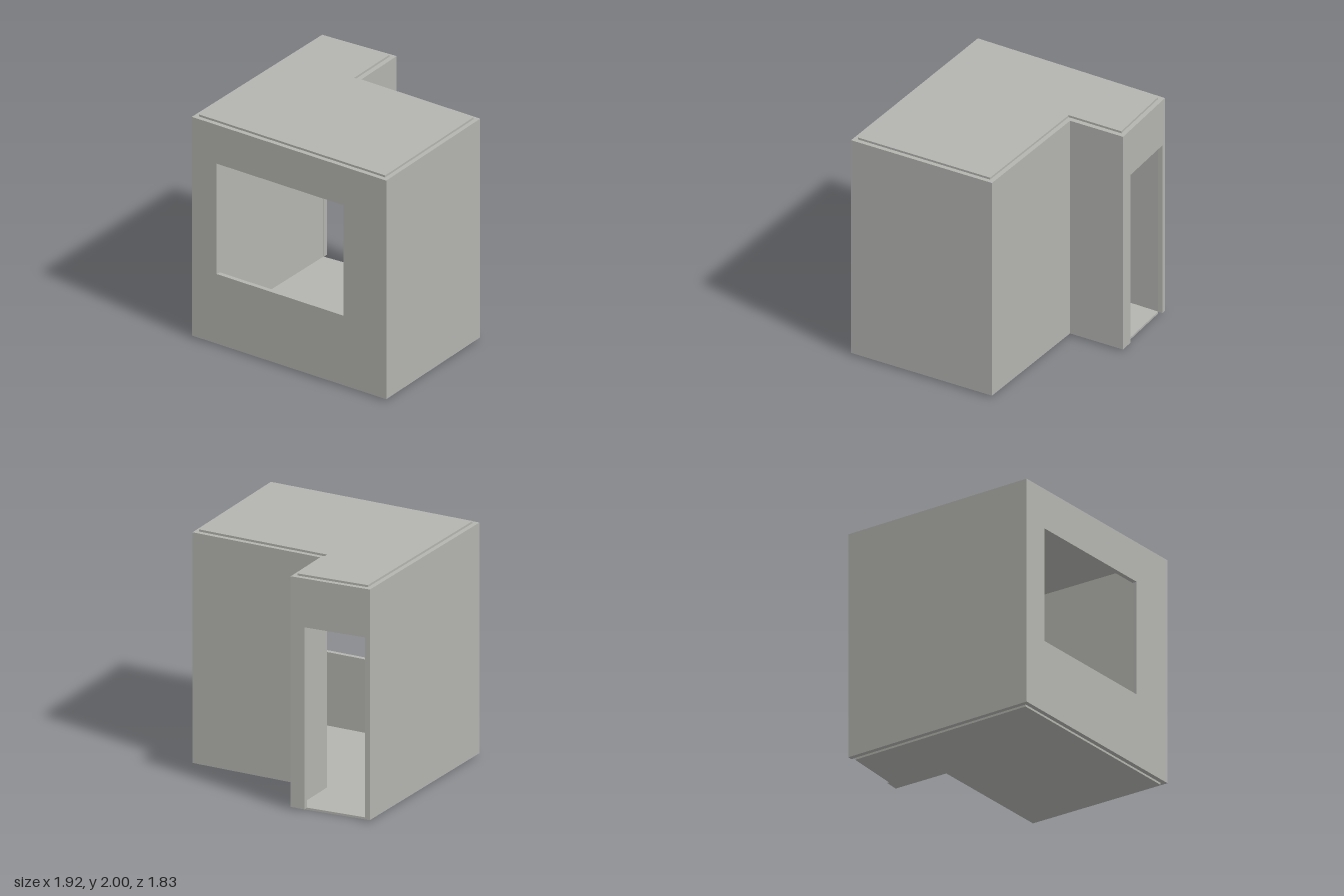
import * as THREE from 'three';

export function createModel() {
  const model = new THREE.Group();
  const grey = new THREE.MeshStandardMaterial({ color: 0xb3b3af });
  grey.name = 'plaster grey';

  const SLAB = 0.018, BASE = SLAB, TOP = 2 - SLAB, THICK = 0.04;

  // L-shaped plan as (x, z) corners, front left first, running round the outside
  const outer = [[-0.95, 0.91], [0.96, 0.88], [0.92, -0.435], [-0.25, -0.42], [-0.265, -0.915], [-0.965, -0.86]];
  const inner = [[-0.91, 0.87], [0.92, 0.84], [0.883, -0.393], [-0.292, -0.38], [-0.305, -0.872], [-0.924, -0.822]];
  const names = ['frontWall', 'sideWall', 'recessBackWall', 'recessSideWall', 'doorWall', 'longSideWall'];

  const rect = (u0, u1, y0, y1) => [[u0, y0], [u1, y0], [u1, y1], [u0, y1]].map(p => new THREE.Vector2(...p));

  // A wall is an elevation extruded inwards, with its ends mitred to the inner corners
  function wall(i, draw) {
    const j = (i + 1) % outer.length;
    const [ax, az] = outer[i], [bx, bz] = outer[j];
    const length = Math.hypot(bx - ax, bz - az);
    const dx = (bx - ax) / length, dz = (bz - az) / length;
    const geo = new THREE.ExtrudeGeometry(draw(length), { depth: 1, bevelEnabled: false });
    const pos = geo.attributes.position;
    for (let k = 0; k < pos.count; k++) {
      const u = pos.getX(k), inside = pos.getZ(k) < 0.5;
      let x = ax + dx * u, z = az + dz * u;
      if (inside) {
        if (u < 1e-4) [x, z] = inner[i];
        else if (u > length - 1e-4) [x, z] = inner[j];
        else { x += dz * THICK; z -= dx * THICK; }
      }
      pos.setXYZ(k, x, pos.getY(k), z);
    }
    geo.computeVertexNormals();
    const mesh = new THREE.Mesh(geo, grey);
    mesh.name = names[i];
    model.add(mesh);
  }

  const plain = length => new THREE.Shape(rect(0, length, BASE, TOP));

  // Wide window opening
  const withWindow = length => {
    const shape = plain(length);
    shape.holes.push(new THREE.Path(rect(0.245, 1.49, 0.643, 1.635)));
    return shape;
  };

  // Doorway open down to the floor
  const withDoor = length => new THREE.Shape([
    [0, BASE], [0.125, BASE], [0.125, 1.567], [0.658, 1.567], [0.658, BASE],
    [length, BASE], [length, TOP], [0, TOP],
  ].map(p => new THREE.Vector2(...p)));

  const elevations = { frontWall: withWindow, doorWall: withDoor };
  names.forEach((name, i) => wall(i, elevations[name] || plain));

  // Floor and ceiling slabs follow the inner outline
  const plan = new THREE.Shape(inner.map(([x, z]) => new THREE.Vector2(x, -z)));
  for (const [name, y] of [['floor', 0], ['ceiling', TOP]]) {
    const geo = new THREE.ExtrudeGeometry(plan, { depth: SLAB, bevelEnabled: false });
    geo.rotateX(-Math.PI / 2);
    const slab = new THREE.Mesh(geo, grey);
    slab.name = name;
    slab.position.y = y;
    model.add(slab);
  }

  return model;
}
